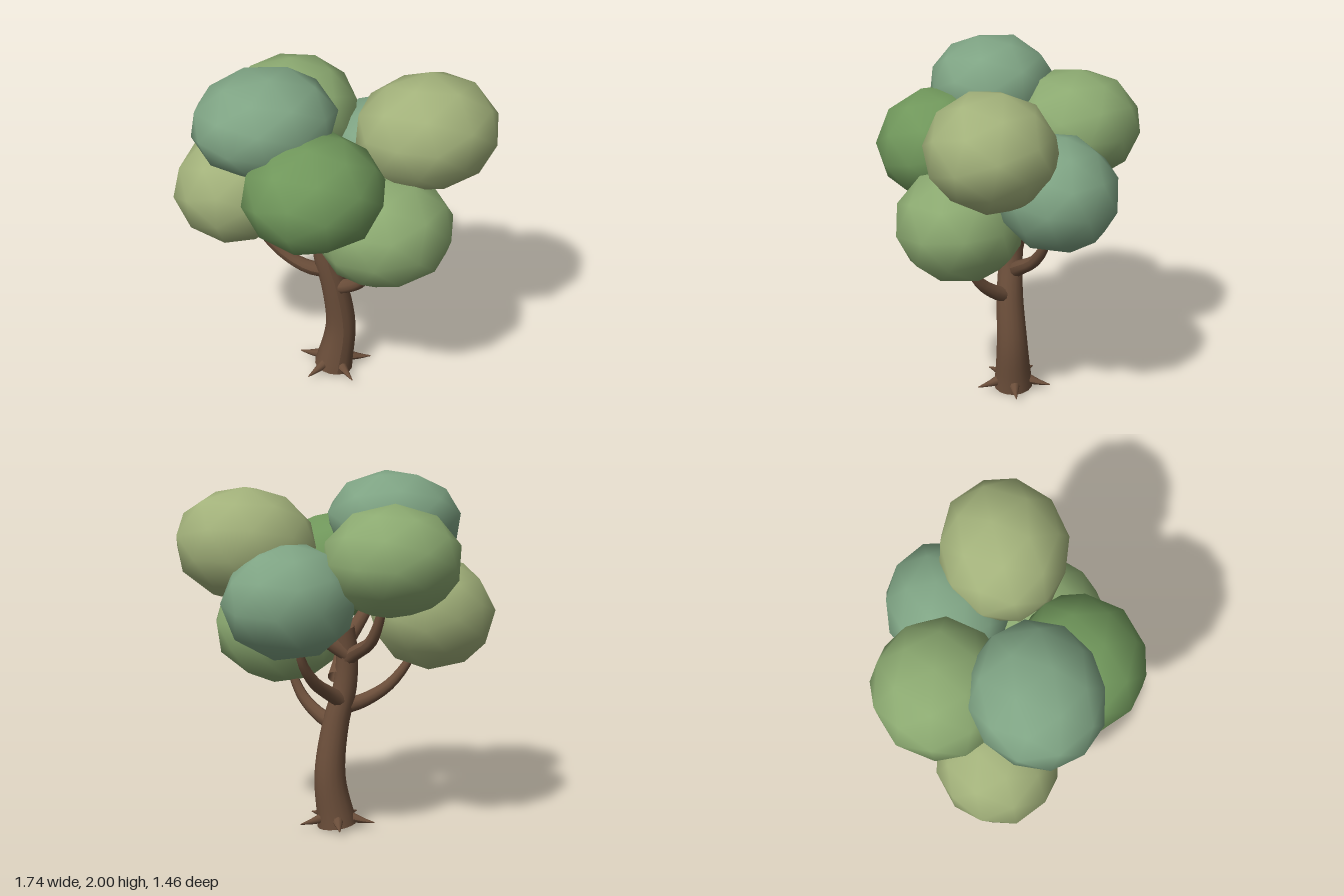
import * as THREE from 'three';
import { mergeVertices } from 'three/addons/utils/BufferGeometryUtils.js';

const bark = new THREE.MeshStandardMaterial({ color: 0x6b4e3a, side: THREE.DoubleSide });
const leafMaterials = {
  teal: new THREE.MeshStandardMaterial({ color: 0x7fa484 }),
  dark: new THREE.MeshStandardMaterial({ color: 0x70975b }),
  light: new THREE.MeshStandardMaterial({ color: 0x8caa71 }),
  olive: new THREE.MeshStandardMaterial({ color: 0xa3b27b }),
};

// Tube along a smooth path whose radius follows radiusAt(t)
function taperedTube(points, radiusAt, segments, sides) {
  const curve = new THREE.CatmullRomCurve3(points.map((p) => new THREE.Vector3(...p)));
  const geometry = new THREE.TubeGeometry(curve, segments, 1, sides);
  const pos = geometry.attributes.position;
  const v = new THREE.Vector3();
  for (let i = 0; i < pos.count; i++) {
    const t = Math.floor(i / (sides + 1)) / segments;
    const centre = curve.getPointAt(t);
    v.fromBufferAttribute(pos, i).sub(centre).multiplyScalar(radiusAt(t)).add(centre);
    pos.setXYZ(i, v.x, v.y, v.z);
  }
  geometry.computeVertexNormals();
  return geometry;
}

// Low-poly ball, turned, swollen towards one side and fitted to the half sizes
function leafBall(size, bulge, turn) {
  let geometry = new THREE.IcosahedronGeometry(1, 1);
  geometry.deleteAttribute('uv');
  geometry.deleteAttribute('normal');
  geometry = mergeVertices(geometry, 1e-3);
  geometry.rotateX(turn * 0.7).rotateY(turn * 1.9).rotateZ(turn * 0.4);
  const pos = geometry.attributes.position;
  const side = new THREE.Vector3(...bulge);
  const v = new THREE.Vector3();
  for (let i = 0; i < pos.count; i++) {
    v.fromBufferAttribute(pos, i);
    v.multiplyScalar(1 + 0.12 * Math.max(0, v.dot(side)));
    pos.setXYZ(i, v.x, v.y, v.z);
  }
  geometry.center();
  const half = geometry.boundingBox.getSize(new THREE.Vector3()).multiplyScalar(0.5);
  geometry.scale(size[0] / half.x, size[1] / half.y, size[2] / half.z);
  geometry.computeVertexNormals();
  return geometry;
}

export function createModel() {
  const tree = new THREE.Group();
  tree.name = 'tree';
  const addGroup = (name) => {
    const group = new THREE.Group();
    group.name = name;
    tree.add(group);
    return group;
  };
  const add = (name, geometry, material, parent) => {
    const mesh = new THREE.Mesh(geometry, material);
    mesh.name = name;
    parent.add(mesh);
    return mesh;
  };

  // Swaying trunk, open at the foot
  add('trunk', taperedTube(
    [[0, 0.015, -0.02], [0.04, 0.3, -0.01], [0, 0.6, 0], [-0.05, 0.8, -0.01], [-0.06, 1.0, -0.02], [-0.04, 1.15, -0.03]],
    (t) => 0.055 + 0.04 * (1 - t) + 0.018 * Math.pow(1 - t, 6), 20, 16), bark, tree);

  // Branches curving up into the crown
  const branches = [
    [[-0.03, 0.69, -0.01], [-0.15, 0.72, -0.03], [-0.29, 0.81, -0.08], [-0.4, 0.95, -0.11], [-0.44, 1.06, -0.13]],
    [[0.01, 0.59, 0.01], [0.07, 0.64, 0.09], [0.13, 0.73, 0.18], [0.17, 0.86, 0.24], [0.19, 0.96, 0.26]],
    [[-0.01, 0.74, -0.03], [0.07, 0.79, -0.06], [0.18, 0.87, -0.12], [0.27, 1.0, -0.17], [0.3, 1.15, -0.19]],
    [[0.0, 0.86, 0.0], [-0.05, 0.92, 0.07], [-0.1, 1.0, 0.16], [-0.14, 1.12, 0.25], [-0.16, 1.25, 0.31]],
    [[-0.05, 0.96, -0.02], [-0.08, 1.01, -0.09], [-0.12, 1.08, -0.2], [-0.14, 1.2, -0.27], [-0.16, 1.38, -0.32]],
    [[-0.05, 1.0, -0.04], [0.05, 1.07, -0.01], [0.17, 1.17, 0.04], [0.3, 1.3, 0.08], [0.38, 1.45, 0.1]],
    [[-0.05, 1.06, -0.02], [-0.12, 1.14, 0.0], [-0.22, 1.27, 0.03], [-0.28, 1.4, 0.05], [-0.32, 1.55, 0.06]],
  ];
  const branchGroup = addGroup('branches');
  for (const path of branches) {
    add('branch', taperedTube(path, (t) => 0.046 - 0.028 * t, 12, 10), bark, branchGroup);
  }

  // Five pointed roots spreading from the middle of the foot
  const roots = addGroup('roots');
  for (let i = 0; i < 5; i++) {
    const geometry = taperedTube(
      [[0.02, 0.065, 0], [0.08, 0.06, 0], [0.15, 0.045, 0], [0.22, 0.036, 0]],
      (t) => 0.042 * (1 - t) + 0.003, 8, 8);
    const root = add('root', geometry, bark, roots);
    root.rotation.y = (-i * Math.PI * 2) / 5;
    root.position.set(0.003, 0, -0.02);
  }

  // Leaf crown: centre, half size, swollen side, colour
  const crown = addGroup('crown');
  const balls = [
    [[-0.385, 1.725, 0.07], [0.385, 0.275, 0.35], [0.7, 0.7, -0.2], 'teal'],
    [[-0.18, 1.445, 0.375], [0.38, 0.305, 0.355], [0, 0, 0], 'dark'],
    [[-0.515, 1.225, -0.165], [0.357, 0.307, 0.33], [-0.6, -0.8, 0], 'olive'],
    [[0.225, 1.12, 0.29], [0.378, 0.312, 0.34], [0.5, 0.6, 0.6], 'light'],
    [[0.48, 1.615, 0.13], [0.39, 0.315, 0.352], [0.7, 0.6, 0.4], 'olive'],
    [[0.35, 1.34, -0.22], [0.365, 0.305, 0.335], [0.5, -0.6, -0.6], 'teal'],
    [[-0.17, 1.545, -0.375], [0.382, 0.308, 0.357], [0, 0, 0], 'light'],
  ];
  balls.forEach(([centre, size, bulge, colour], i) => {
    add('leafBall', leafBall(size, bulge, i + 0.5), leafMaterials[colour], crown).position.set(...centre);
  });

  return tree;
}
